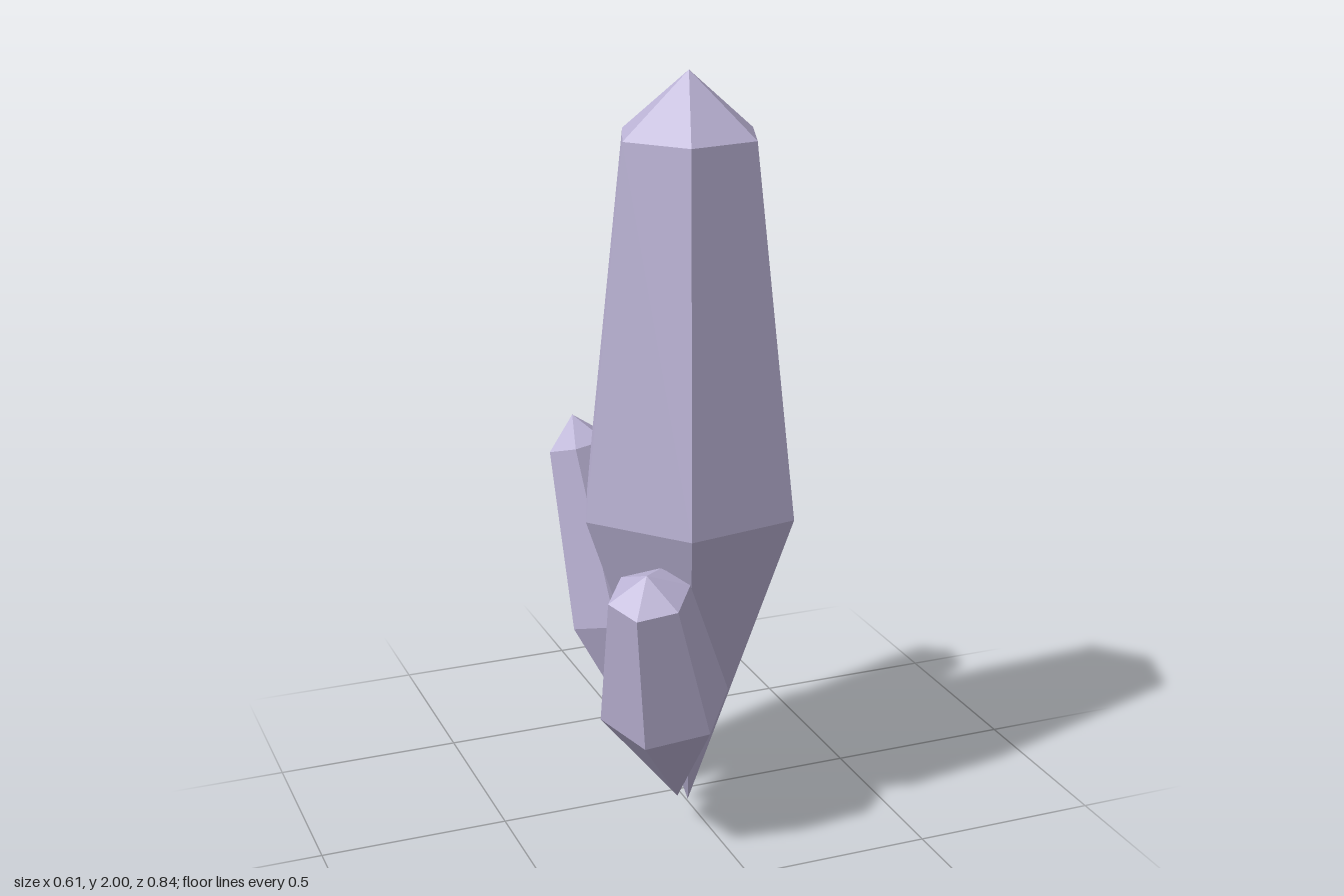
import * as THREE from 'three';

const lilac = new THREE.MeshStandardMaterial({ color: 0xbab2d4, flatShading: true });
lilac.name = 'lilac crystal';

// Six-sided crystal from its root point to its tip; the rings lie square to the axis.
function crystal(name, root, tip, radius, ringAngle) {
  const start = new THREE.Vector3(...root);
  const axis = new THREE.Vector3(...tip).sub(start);
  const length = axis.length();
  const profile = [
    [0, 0],
    [radius, 0.437],
    [radius * 0.62, 0.92],
    [0, 1],
  ].map(([r, t]) => new THREE.Vector2(r, t * length));
  const phiStart = THREE.MathUtils.degToRad(30 - ringAngle);
  const mesh = new THREE.Mesh(new THREE.LatheGeometry(profile, 6, phiStart), lilac);
  mesh.name = name;
  mesh.position.copy(start);
  mesh.quaternion.setFromUnitVectors(new THREE.Vector3(0, 1, 0), axis.normalize());
  return mesh;
}

export function createModel() {
  const group = new THREE.Group();
  group.name = 'crystalCluster';
  group.add(
    // Tall upright centre
    crystal('mainCrystal', [0.005, 0, 0.063], [0.005, 2, 0.063], 0.307, -10),
    // Smaller ones leaning outwards
    crystal('frontCrystal', [-0.06, 0.065, 0.15], [-0.217, 0.8, 0.34], 0.171, 9),
    crystal('backCrystal', [0.04, 0.07, -0.055], [0.139, 1.22, -0.356], 0.158, -13),
    crystal('sideCrystal', [-0.053, 0.08, -0.022], [-0.209, 1.045, -0.24], 0.142, -6),
  );
  return group;
}
